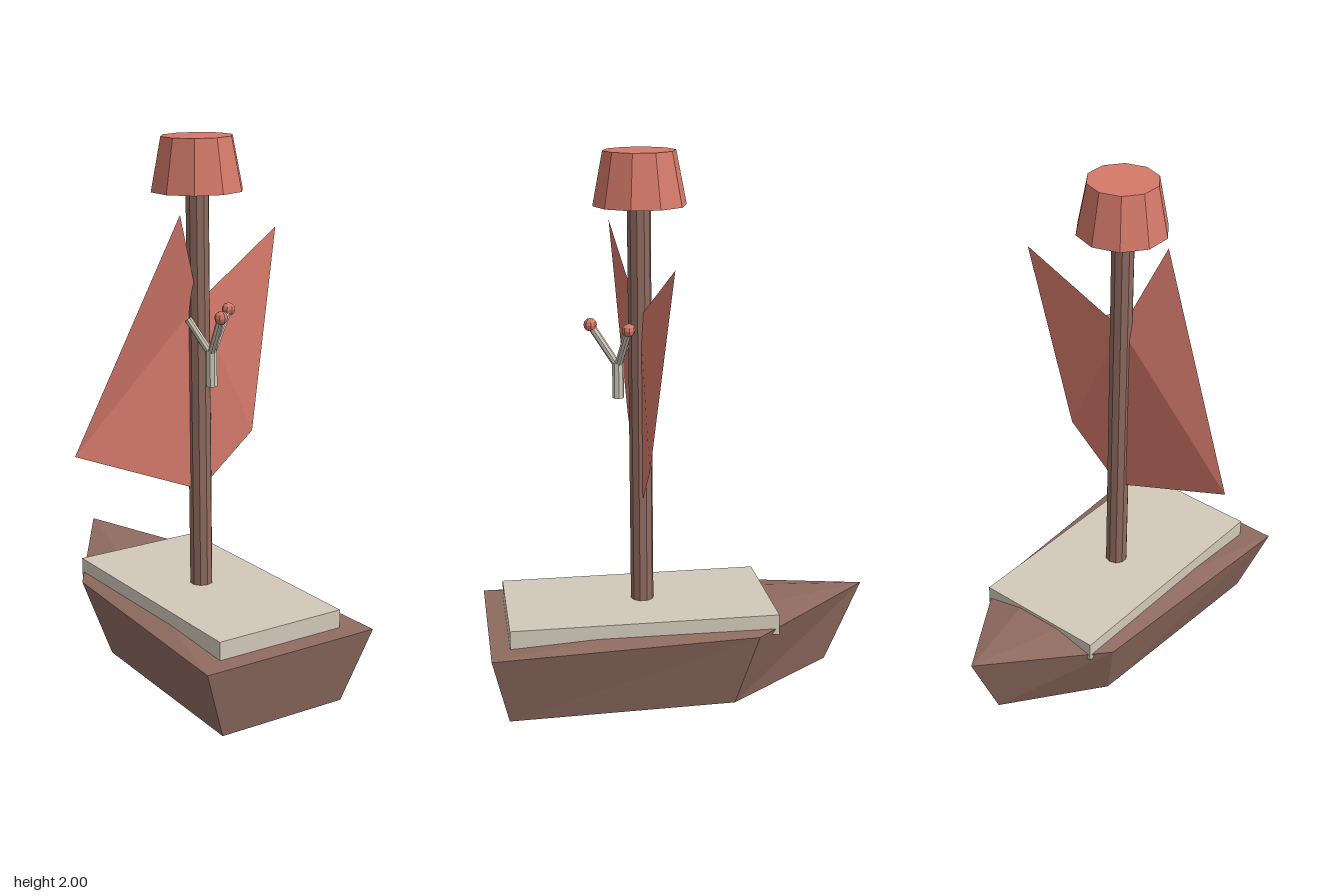
import * as THREE from 'three';

const V = (x, y, z) => new THREE.Vector3(x, y, z);

export function createModel() {
  const model = new THREE.Group();
  model.name = 'raft';

  const mat = (name, color, side = THREE.FrontSide) => {
    const m = new THREE.MeshStandardMaterial({ color, side, flatShading: true });
    m.name = name;
    return m;
  };
  const wood = mat('brown wood', 0x8f6b60);
  const pale = mat('pale bone', 0xd2c9ba);
  const coral = mat('coral red', 0xd4796a, THREE.DoubleSide);

  const add = (name, geometry, material) => {
    const mesh = new THREE.Mesh(geometry, material);
    mesh.name = name;
    model.add(mesh);
    return mesh;
  };

  // flat-shaded geometry from a list of corner triples
  const facets = (tris) => {
    const g = new THREE.BufferGeometry().setFromPoints(tris.flat());
    g.computeVertexNormals();
    return g;
  };

  // straight round bar between two points
  const bar = (name, a, b, r, sides, material, rTop = r) => {
    const dir = b.clone().sub(a);
    const mesh = add(name, new THREE.CylinderGeometry(rTop, r, dir.length(), sides), material);
    mesh.position.copy(a).add(b).multiplyScalar(0.5);
    mesh.quaternion.setFromUnitVectors(V(0, 1, 0), dir.normalize());
    return mesh;
  };

  // hull: five-cornered rim and keel outlines, counterclockwise from above
  const rim = [V(-0.27, 0.274, 0.705), V(0.43, 0.288, 0.705), V(0.38, 0.295, -0.255),
    V(0.08, 0.36, -0.705), V(-0.22, 0.283, -0.255)];
  const keel = [V(-0.167, 0.003, 0.645), V(0.34, 0.014, 0.645), V(0.305, 0.009, -0.18),
    V(0.085, 0.06, -0.57), V(-0.133, 0, -0.18)];
  const hull = [];
  for (let i = 0; i < 5; i++) {
    const j = (i + 1) % 5;
    hull.push([keel[i], keel[j], rim[j]], [keel[i], rim[j], rim[i]]);
  }
  // deck and bottom fan out from the bow
  for (const [a, b] of [[4, 0], [0, 1], [1, 2]]) {
    hull.push([rim[3], rim[a], rim[b]], [keel[3], keel[b], keel[a]]);
  }
  add('hull', facets(hull), wood);

  // deck slab, leaning slightly with the boat
  const slab = add('deckSlab', new THREE.BoxGeometry(0.51, 0.075, 0.97), pale);
  slab.position.set(0.08, 0.315, 0.15);
  slab.rotation.z = 0.02;

  // mast and tapered cap
  bar('mast', V(0.077, 0.3, 0.13), V(0.048, 1.83, 0.13), 0.042, 10, wood);
  bar('mastCap', V(0.05, 1.807, 0.127), V(0.047, 1.997, 0.127), 0.166, 10, coral, 0.129);

  // two thin sails meeting at the mast
  const head = V(0.055, 1.41, 0.13), foot = V(0.07, 0.712, 0.13);
  const sail = (name, tip, corner) =>
    add(name, facets([[head, tip, corner], [head, corner, foot]]), coral);
  sail('rightSail', V(-0.08, 1.74, 0.222), V(-0.44, 0.91, 0.113));
  sail('leftSail', V(0.434, 1.645, 0.062), V(0.296, 0.905, 0.13));

  // three-pronged fork in front of the mast, two prongs with berries
  const fork = V(0.06, 1.235, 0.21);
  bar('forkStem', V(0.062, 1.12, 0.21), V(0.06, 1.25, 0.21), 0.021, 8, pale);
  const prongs = [[0.037, 1.385, 0.305, true], [0.15, 1.385, 0.182, true], [0, 1.36, 0.15, false]];
  for (const [x, y, z, berry] of prongs) {
    bar('forkProng', fork, V(x, y, z), 0.014, 8, pale);
    if (berry) {
      add('berry', new THREE.SphereGeometry(0.024, 8, 6), coral).position.set(x, y, z);
    }
  }

  return model;
}
